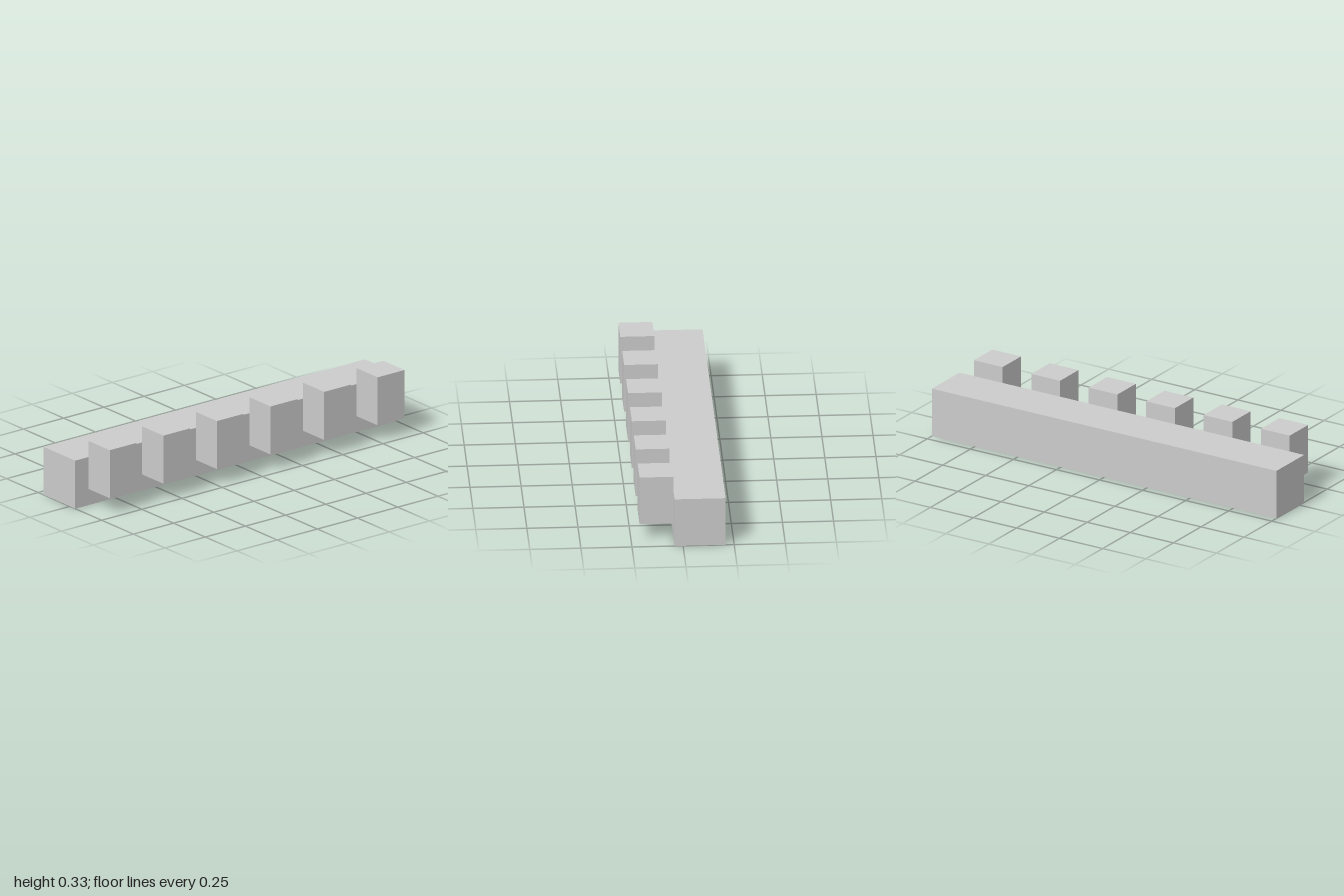
import * as THREE from 'three';

export function createModel() {
  const group = new THREE.Group();
  const material = new THREE.MeshStandardMaterial({ color: 0xcccccc, flatShading: true });
  const u = 1 / 12; // module size: the beam is 24 modules long

  function addBox(name, size, center) {
    const mesh = new THREE.Mesh(new THREE.BoxGeometry(...size.map((s) => s * u)), material);
    mesh.position.set(...center).multiplyScalar(u);
    mesh.name = name;
    group.add(mesh);
  }

  // Long square beam at the back
  addBox('beam', [24, 3, 3], [0, 1.5, -1]);

  // Row of raised blocks along the front face
  for (let i = 0; i < 6; i++) {
    addBox(`block${i + 1}`, [2, 3, 2], [-10 + i * 4, 2.5, 1.5]);
  }

  return group;
}
